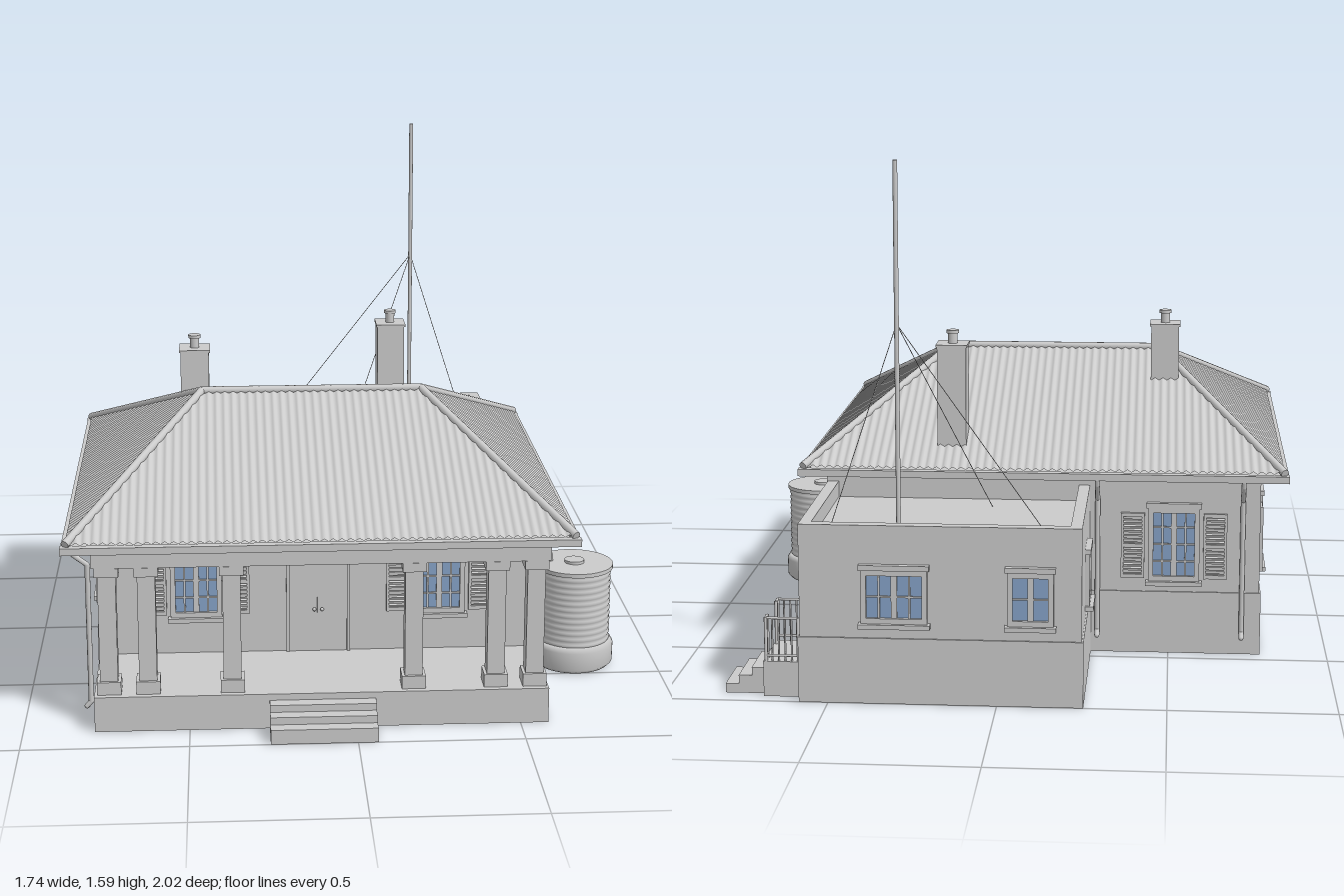
import * as THREE from 'three';

const grey = new THREE.MeshStandardMaterial({ color: 0xcccccc });
const greyDouble = new THREE.MeshStandardMaterial({ color: 0xcccccc, side: THREE.DoubleSide });
const blue = new THREE.MeshStandardMaterial({ color: 0x86a3c8 });
const V = (x, y, z) => new THREE.Vector3(x, y, z);

function add(parent, name, geometry, material = grey) {
  const mesh = new THREE.Mesh(geometry, material);
  mesh.name = name;
  parent.add(mesh);
  return mesh;
}

// Box given by its limits on each axis
function box(parent, name, x0, x1, y0, y1, z0, z1, material) {
  const m = add(parent, name, new THREE.BoxGeometry(x1 - x0, y1 - y0, z1 - z0), material);
  m.position.set((x0 + x1) / 2, (y0 + y1) / 2, (z0 + z1) / 2);
  return m;
}

function cyl(parent, name, x, z, y0, y1, r, sides = 24) {
  const m = add(parent, name, new THREE.CylinderGeometry(r, r, y1 - y0, sides));
  m.position.set(x, (y0 + y1) / 2, z);
  return m;
}

// Round rod between two points
function rod(parent, name, a, b, r, sides = 8) {
  const m = add(parent, name, new THREE.CylinderGeometry(r, r, a.distanceTo(b), sides));
  m.position.copy(a).lerp(b, 0.5);
  m.quaternion.setFromUnitVectors(V(0, 1, 0), b.clone().sub(a).normalize());
}

function pipe(parent, name, points, r = 0.008) {
  const g = new THREE.Group();
  g.name = name;
  parent.add(g);
  for (let i = 1; i < points.length; i++) {
    rod(g, 'pipeRun', points[i - 1], points[i], r);
    add(g, 'pipeJoint', new THREE.SphereGeometry(r, 8, 6)).position.copy(points[i]);
  }
}

// Group on a wall: local +z points out of the wall
function onWall(parent, name, x, z, angle) {
  const g = new THREE.Group();
  g.name = name;
  g.position.set(x, 0, z);
  g.rotation.y = angle;
  parent.add(g);
  return g;
}

// Glazed window with frame, bars, sill and optional louvred shutters
function windowUnit(parent, x, z, angle, w, y0, y1, cols, rows, shutters) {
  const g = onWall(parent, 'window', x, z, angle);
  const h = w / 2, f = 0.016;
  box(g, 'glass', -h, h, y0, y1, -0.01, 0.003, blue);
  for (const s of [-1, 1]) {
    box(g, 'frameSide', s * h - f / 2, s * h + f / 2, y0, y1, 0, 0.014);
    if (!shutters) continue;
    const a = s * (h + 0.057), sw = 0.033;
    box(g, 'shutterPanel', a - sw, a + sw, y0, y1 - 0.01, 0, 0.005);
    for (const e of [-1, 1])
      box(g, 'shutterStile', a + e * sw - 0.004, a + e * sw + 0.004, y0, y1 - 0.01, 0, 0.013);
    for (let i = 0; i <= 16; i++) {
      const y = y0 + 0.006 + (y1 - y0 - 0.022) * i / 16;
      const big = i % 8 === 0;
      const slat = box(g, 'louvre', a - sw, a + sw, y - (big ? 0.006 : 0.003), y + (big ? 0.006 : 0.003), 0.002, 0.011);
      if (!big) slat.rotation.x = 0.5;
    }
  }
  box(g, 'frameTop', -h - f / 2, h + f / 2, y1 - f / 2, y1 + f / 2, 0, 0.014);
  box(g, 'frameBottom', -h - f / 2, h + f / 2, y0 - f / 2, y0 + f / 2, 0, 0.014);
  box(g, 'lintel', -h - 0.014, h + 0.014, y1 + 0.008, y1 + 0.024, 0, 0.018);
  box(g, 'sill', -h - 0.016, h + 0.016, y0 - 0.022, y0 - 0.008, 0, 0.026);
  for (let i = 1; i < cols; i++) {
    const bx = -h + w * i / cols, t = i * 2 === cols ? 0.009 : 0.003;
    box(g, 'upright', bx - t, bx + t, y0, y1, 0, 0.009);
  }
  for (let i = 1; i < rows; i++) {
    const by = y0 + (y1 - y0) * i / rows;
    box(g, 'crossbar', -h, h, by - 0.0025, by + 0.0025, 0, 0.008);
  }
}

function door(parent, x, z, angle, w, y0, y1, double) {
  const g = onWall(parent, 'door', x, z, angle), h = w / 2;
  box(g, 'leaf', -h, h, y0, y1, -0.01, 0.004);
  for (const s of [-1, 1]) box(g, 'jamb', s * h - 0.005, s * h + 0.005, y0, y1, 0, 0.01);
  box(g, 'head', -h - 0.005, h + 0.005, y1 - 0.004, y1 + 0.006, 0, 0.01);
  if (double) box(g, 'meetingStile', -0.003, 0.003, y0, y1, 0, 0.007);
  for (const s of double ? [-0.012, 0.012] : [h - 0.02])
    add(g, 'knob', new THREE.SphereGeometry(0.006, 10, 8)).position.set(s, y0 + 0.14, 0.01);
}

// Corrugated hip-roof slope: eave from a to b, "up" reaches ridge height, hips run in by "run"
function slope(parent, a, b, up, run) {
  const L = a.distanceTo(b), waves = Math.round(L / 0.026), n = waves * 4;
  const pos = [], index = [];
  for (let i = 0; i <= n; i++) {
    const s = L * i / n, k = Math.min(1, s / run, (L - s) / run);
    const e = a.clone().lerp(b, i / n);
    e.y += 0.004 * Math.sin(i * Math.PI / 2);
    const t = e.clone().addScaledVector(up, k);
    pos.push(e.x, e.y, e.z, t.x, t.y, t.z);
    if (i < n) index.push(2 * i, 2 * i + 2, 2 * i + 1, 2 * i + 2, 2 * i + 3, 2 * i + 1);
  }
  const geo = new THREE.BufferGeometry();
  geo.setAttribute('position', new THREE.Float32BufferAttribute(pos, 3));
  geo.setIndex(index);
  geo.computeVertexNormals();
  add(parent, 'roofSlope', geo, greyDouble);
}

export function createModel() {
  const house = new THREE.Group();
  house.name = 'house';
  const X0 = -0.785, X1 = 0.585, ZB = -0.44, ZF = 0.53, PI = Math.PI;

  // Main body, porch floor and wall base band
  box(house, 'foundation', X0, X1, 0, 0.11, ZB, 0.88);
  box(house, 'mainWalls', X0, X1, 0.11, 0.575, ZB, ZF);
  box(house, 'wallBase', X0 - 0.005, X1 + 0.005, 0, 0.2, ZB - 0.005, ZF - 0.002);

  // Rear annex with parapet
  const ax0 = -0.25, az = -0.995, p = 0.035;
  box(house, 'annexWalls', ax0, X1 - 0.003, 0, 0.49, az, ZB);
  box(house, 'annexBase', ax0 - 0.005, X1 + 0.002, 0, 0.2, az - 0.005, ZB);
  box(house, 'parapetBack', ax0, X1 - 0.003, 0.49, 0.54, az, az + p);
  box(house, 'parapetLeft', X1 - 0.003 - p, X1 - 0.003, 0.49, 0.54, az + p, ZB);
  box(house, 'parapetRight', ax0, ax0 + p, 0.49, 0.54, az + p, ZB);

  // Porch beams and columns
  box(house, 'porchBeam', X0, X1, 0.51, 0.575, 0.79, 0.86);
  for (const x of [X0, X1 - 0.07]) box(house, 'porchSideBeam', x, x + 0.07, 0.51, 0.575, ZF, 0.79);
  for (const x of [-0.74, -0.623, -0.37, 0.176, 0.425, 0.543]) {
    const c = onWall(house, 'column', x, 0.825, 0);
    box(c, 'shaft', -0.027, 0.027, 0.15, 0.485, -0.027, 0.027);
    box(c, 'base', -0.036, 0.036, 0.11, 0.15, -0.036, 0.036);
    box(c, 'capital', -0.036, 0.036, 0.482, 0.51, -0.036, 0.036);
  }

  // Front steps
  [0.045, 0.068, 0.09].forEach((y, i) => box(house, 'frontStep', -0.26, 0.06, 0, y, 0.88, 1 - i * 0.04));

  // Openings
  for (const x of [-0.48, 0.283]) windowUnit(house, x, ZF, 0, 0.145, 0.24, 0.465, 4, 4, true);
  door(house, -0.098, ZF, 0, 0.19, 0.11, 0.44, true);
  const vent = onWall(house, 'doorVent', -0.098, ZF, 0);
  for (let i = 0; i < 6; i++) box(vent, 'ventSlat', -0.052, 0.052, 0.45 + i * 0.0068, 0.4545 + i * 0.0068, 0, 0.007);
  windowUnit(house, X1, 0.14, PI / 2, 0.145, 0.245, 0.465, 4, 4, true);
  windowUnit(house, X1, -0.25, PI / 2, 0.115, 0.33, 0.475, 2, 2, false);
  windowUnit(house, X1 - 0.003, -0.58, PI / 2, 0.13, 0.255, 0.4, 4, 2, false);
  door(house, X1 - 0.003, -0.838, PI / 2, 0.135, 0.11, 0.41, false);
  for (const z of [-0.18, 0.26]) windowUnit(house, X0, z, -PI / 2, 0.145, 0.245, 0.465, 4, 4, true);
  windowUnit(house, -0.515, ZB, PI, 0.145, 0.245, 0.465, 4, 4, true);
  windowUnit(house, 0.3, az, PI, 0.18, 0.255, 0.4, 4, 2, false);
  windowUnit(house, -0.1, az, PI, 0.12, 0.255, 0.4, 2, 2, false);
  windowUnit(house, ax0, -0.72, -PI / 2, 0.11, 0.255, 0.4, 2, 2, false);

  // Hip roof
  const roof = new THREE.Group();
  roof.name = 'roof';
  house.add(roof);
  const rx0 = -0.855, rx1 = 0.65, rz0 = -0.505, rz1 = 0.905, ey = 0.602, rise = 0.275, runX = 0.4, runZ = 0.705;
  const FL = V(rx0, ey, rz1), FR = V(rx1, ey, rz1), BR = V(rx1, ey, rz0), BL = V(rx0, ey, rz0);
  slope(roof, FL, FR, V(0, rise, -runZ), runX);
  slope(roof, FR, BR, V(-runX, rise, 0), runZ);
  slope(roof, BR, BL, V(0, rise, runZ), runX);
  slope(roof, BL, FL, V(runX, rise, 0), runZ);
  const RA = V(rx0 + runX, ey + rise, 0.2), RB = V(rx1 - runX, ey + rise, 0.2);
  for (const [a, b] of [[FL, RA], [BL, RA], [FR, RB], [BR, RB], [RA, RB]]) rod(roof, 'ridgeCap', a, b, 0.013, 10);
  box(roof, 'soffit', rx0, rx1, 0.572, 0.584, rz0, rz1);
  for (const z of [rz0, rz1]) box(roof, 'gutter', rx0 - 0.015, rx1 + 0.015, 0.572, 0.594, z - 0.013, z + 0.013);
  for (const x of [rx0, rx1]) box(roof, 'gutter', x - 0.013, x + 0.013, 0.572, 0.594, rz0, rz1);

  // Chimneys
  for (const [x, z, y0, y1] of [[-0.478, 0.052, 0.7, 0.985], [0.192, -0.338, 0.58, 0.972]]) {
    box(house, 'chimney', x - 0.046, x + 0.046, y0, y1, z - 0.046, z + 0.046);
    box(house, 'chimneyCap', x - 0.05, x + 0.05, y1 - 0.008, y1, z - 0.05, z + 0.05);
    cyl(house, 'chimneyPot', x, z, y1, y1 + 0.04, 0.015);
    cyl(house, 'potRim', x, z, y1 + 0.032, y1 + 0.042, 0.02);
  }

  // Downpipes
  pipe(house, 'frontDownpipe', [V(-0.862, 0.575, 0.82), V(-0.855, 0.555, 0.82), V(-0.797, 0.51, 0.82), V(-0.797, 0.075, 0.82), V(-0.81, 0.06, 0.82)]);
  for (const x of [-0.73, -0.275])
    pipe(house, 'backDownpipe', [V(x, 0.575, -0.51), V(x, 0.555, -0.505), V(x, 0.5, -0.455), V(x, 0.075, -0.455), V(x, 0.06, -0.47)]);
  pipe(house, 'tankPipe', [V(0.657, 0.575, 0.37), V(0.655, 0.555, 0.37), V(0.598, 0.51, 0.37), V(0.598, 0.405, 0.37), V(0.66, 0.36, 0.37), V(0.66, 0.33, 0.37)]);

  // Water tank on a round footing
  const tank = onWall(house, 'waterTank', 0.735, 0.385, 0);
  const base = [[0, 0], [0.118, 0], [0.13, 0.012], [0.131, 0.07], [0.122, 0.086], [0, 0.088]].map(q => new THREE.Vector2(...q));
  add(tank, 'tankFooting', new THREE.LatheGeometry(base, 40));
  const ribs = [];
  for (let i = 0; i <= 48; i++) ribs.push(new THREE.Vector2(0.117 + 0.0015 * Math.sin(i * PI / 2), 0.086 + 0.24 * i / 48));
  add(tank, 'tankShell', new THREE.LatheGeometry(ribs, 40));
  cyl(tank, 'tankLid', 0, 0, 0.325, 0.338, 0.124, 40);
  cyl(tank, 'tankHatch', 0, 0, 0.338, 0.347, 0.032);

  // Side landing, steps and railings
  box(house, 'landing', X1 - 0.01, 0.7, 0, 0.108, -0.955, -0.742);
  [0.08, 0.055, 0.028].forEach((y, i) => box(house, 'sideStep', 0.7, 0.74 + i * 0.04, 0, y, -0.93, -0.77));
  const railing = (a, b, n) => {
    for (const y of [0.125, 0.24]) rod(house, 'rail', V(a.x, y, a.z), V(b.x, y, b.z), 0.004);
    for (let i = 0; i <= n; i++) {
      const q = a.clone().lerp(b, i / n);
      rod(house, 'baluster', V(q.x, 0.105, q.z), V(q.x, 0.242, q.z), i % n ? 0.003 : 0.005);
    }
  };
  for (const [z, zi] of [[-0.948, -0.918], [-0.749, -0.779]]) {
    railing(V(0.595, 0, z), V(0.692, 0, z), 5);
    railing(V(0.692, 0, z), V(0.692, 0, zi), 2);
  }

  // Mast with guy wires
  box(house, 'mastFoot', 0.285, 0.325, 0.49, 0.5, -0.86, -0.82);
  cyl(house, 'mast', 0.305, -0.84, 0.49, 1.59, 0.007, 12);
  for (const e of [V(-0.155, 0.49, -0.93), V(0.505, 0.49, -0.93), V(0.05, 0.49, -0.535)])
    rod(house, 'guyWire', V(0.305, 1.11, -0.84), e, 0.0012, 5);

  return house;
}
